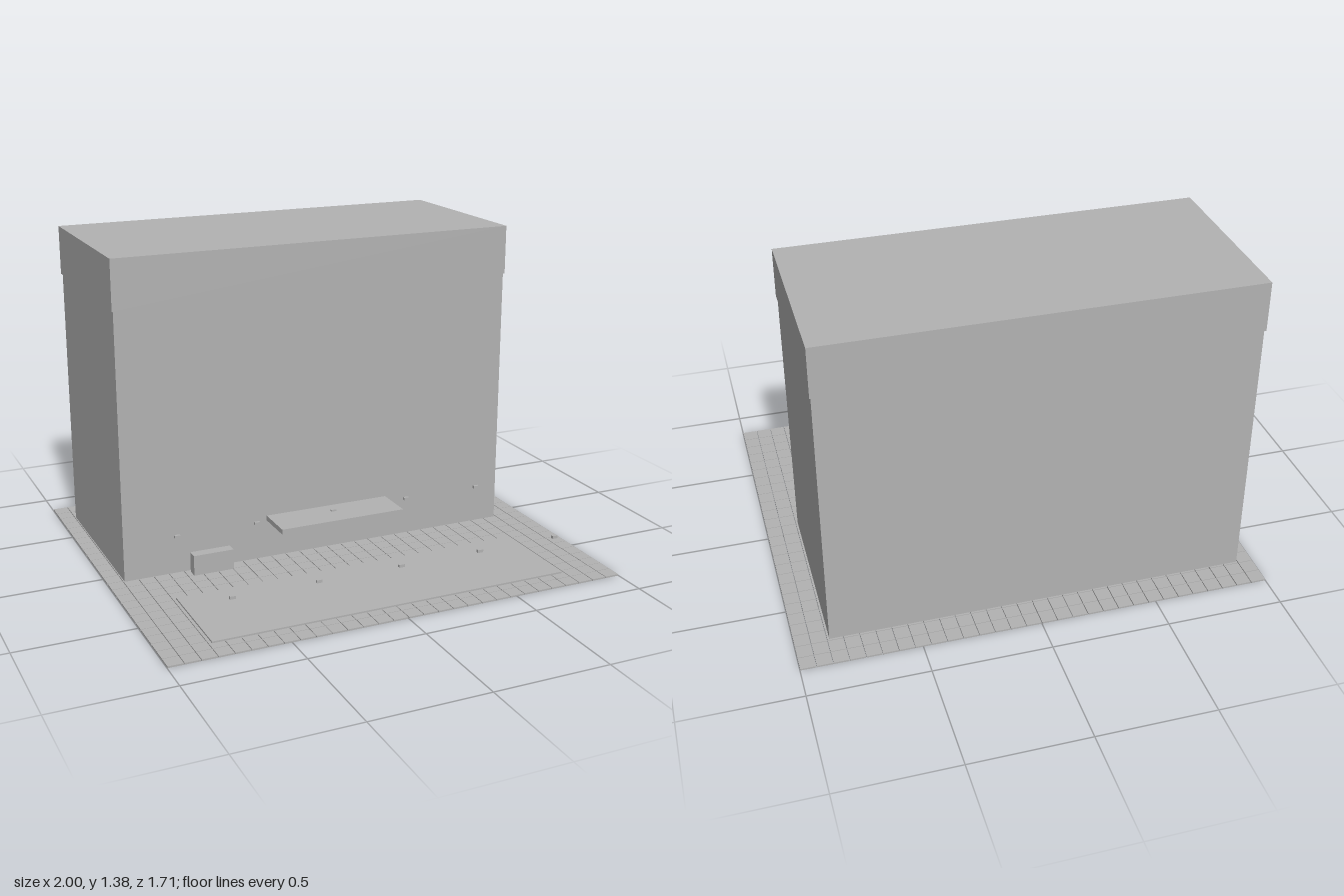
import * as THREE from 'three';

export function createModel() {
  const model = new THREE.Group();
  model.name = 'building';
  const grey = new THREE.MeshStandardMaterial({ color: 0xb2b2b2 });
  grey.name = 'concrete grey';

  // Box given by its minimum and maximum along each axis
  function block(name, [x0, x1], [y0, y1], [z0, z1], parent = model) {
    const mesh = new THREE.Mesh(new THREE.BoxGeometry(x1 - x0, y1 - y0, z1 - z0), grey);
    mesh.position.set((x0 + x1) / 2, (y0 + y1) / 2, (z0 + z1) / 2);
    mesh.name = name;
    parent.add(mesh);
    return mesh;
  }

  // Tiled pavement with narrow joints
  const columns = 30, rows = 26, pitch = 2 / 30, gap = 0.003, depth = 1.716;
  const rowPitch = depth / rows;
  const tile = new THREE.BoxGeometry(pitch - gap, 0.007, rowPitch - gap);
  const paving = new THREE.InstancedMesh(tile, grey, 0);
  const pavement = new THREE.Group();
  pavement.name = 'pavement';
  paving.dispose();
  for (let i = 0; i < columns; i++) {
    for (let j = 0; j < rows; j++) {
      const slab = new THREE.Mesh(tile, grey);
      slab.name = 'pavingTile';
      slab.position.set(-1 + (i + 0.5) * pitch, 0.0035, -depth / 2 + (j + 0.5) * rowPitch);
      pavement.add(slab);
    }
  }
  model.add(pavement);

  // Main volume and the slightly wider parapet band
  block('buildingBody', [-0.928, 0.857], [0.005, 1.17], [-0.716, 0.075]);
  block('parapet', [-0.934, 0.862], [1.165, 1.378], [-0.722, 0.081]);

  // Entrance canopy, bench block and forecourt slab
  block('canopy', [-0.286, 0.286], [0.176, 0.198], [0.07, 0.25]);
  block('benchBlock', [-0.642, -0.464], [0.006, 0.096], [0.09, 0.137]);
  block('forecourtSlab', [-0.786, 0.786], [0.005, 0.014], [0.325, 0.75]);

  // Two rows of small lamps
  const lamps = new THREE.Group();
  lamps.name = 'lamps';
  for (const z of [0.143, 0.787]) {
    for (let i = -2; i <= 2; i++) {
      const x = i * 0.357;
      block('lamp', [x - 0.012, x + 0.012], [0.194, 0.206], [z - 0.006, z + 0.006], lamps);
    }
  }
  model.add(lamps);

  return model;
}
